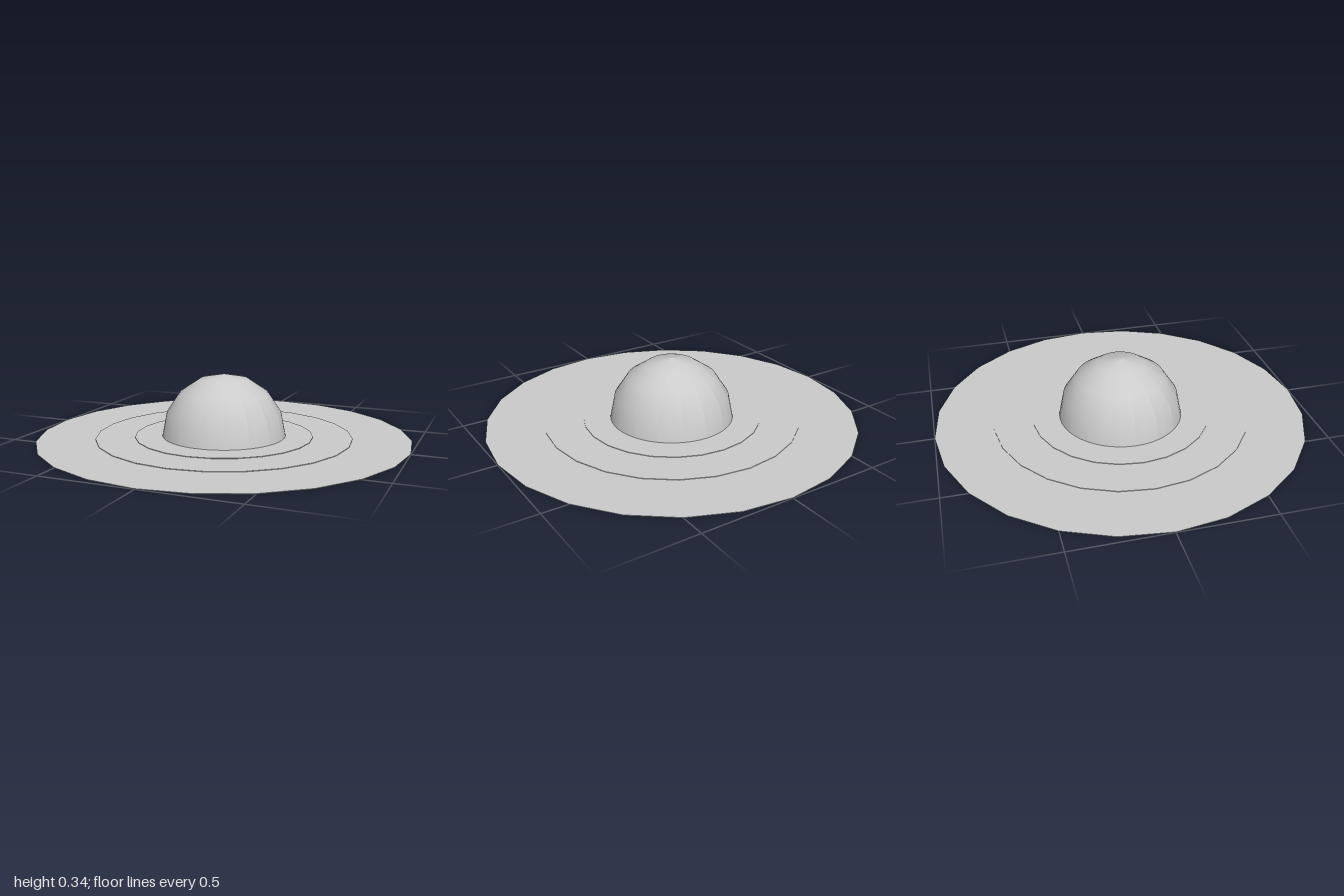
import * as THREE from 'three';
import { mergeGeometries } from 'three/addons/utils/BufferGeometryUtils.js';

export function createModel() {
  const group = new THREE.Group();
  const smooth = new THREE.MeshStandardMaterial({ color: 0xcccccc });
  const flat = new THREE.MeshStandardMaterial({ color: 0xcccccc, flatShading: true });

  // Three very thin discs stacked into shallow steps
  const step = 0.003;
  [['baseDisc', 1], ['middleDisc', 0.69], ['innerDisc', 0.48]].forEach(([name, radius], i) => {
    const height = step * (i + 1);
    const disc = new THREE.Mesh(new THREE.CylinderGeometry(radius, radius, height, 24), flat);
    disc.name = name;
    disc.position.y = height / 2;
    group.add(disc);
  });

  // Faceted dome: columns smooth from top to bottom, creased between each other
  const sides = 16;
  const columns = [];
  for (let i = 0; i < sides; i++) {
    const angle = Math.PI * 2 / sides;
    const column = new THREE.SphereGeometry(0.333, 1, 4, i * angle, angle, 0, Math.PI / 2);
    column.computeVertexNormals();
    columns.push(column);
  }
  const dome = new THREE.Mesh(mergeGeometries(columns), smooth);
  dome.name = 'dome';
  dome.position.y = step * 3;
  group.add(dome);

  return group;
}
